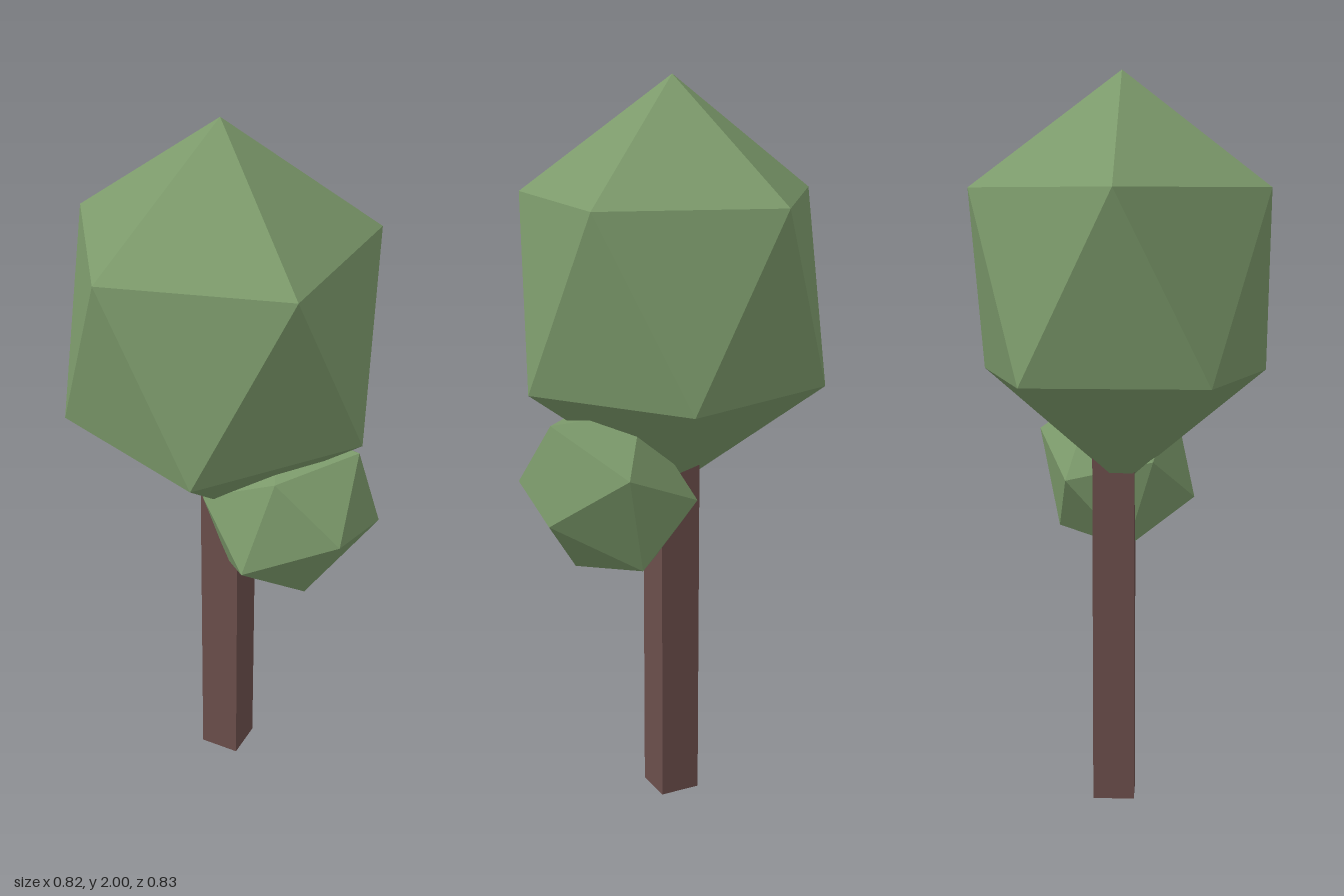
import * as THREE from 'three';
import { ConvexGeometry } from 'three/addons/geometries/ConvexGeometry.js';

const leaf = new THREE.MeshStandardMaterial({ color: 0x7c9a6b, flatShading: true });
const bark = new THREE.MeshStandardMaterial({ color: 0x6b4e4b, flatShading: true });

// Twenty-sided foliage: six corners (offsets from the centre) and their opposites.
function foliage(name, centre, corners) {
  const points = corners.flatMap(c => [c, c.clone().negate()]);
  const mesh = new THREE.Mesh(new ConvexGeometry(points), leaf);
  mesh.name = name;
  mesh.position.copy(centre);
  return mesh;
}

export function createModel() {
  const tree = new THREE.Group();
  tree.name = 'tree';

  // Square trunk, slightly turned, running up into the crown
  const trunk = new THREE.Mesh(new THREE.BoxGeometry(0.114, 1.0, 0.114), bark);
  trunk.name = 'trunk';
  trunk.position.set(-0.005, 0.5, -0.025);
  trunk.rotation.y = 0.267;
  tree.add(trunk);

  // Tall main crown: a pole and a ring of five, mirrored through the centre
  const crown = [new THREE.Vector3(0, 0.555, 0)];
  for (let i = 0; i < 5; i++) {
    const a = -0.068 + i * Math.PI * 2 / 5;
    crown.push(new THREE.Vector3(Math.sin(a) * 0.414, 0.249, Math.cos(a) * 0.414));
  }
  tree.add(foliage('crown', new THREE.Vector3(-0.012, 1.445, 0), crown));

  // Small tilted side clump
  const centre = new THREE.Vector3(0.18, 0.917, -0.076);
  const clump = [
    [0.41, 0.935, 0], [0.247, 1.097, 0.075], [0.341, 1.127, -0.156],
    [0.2, 0.825, 0.15], [0.265, 0.695, -0.04], [0.36, 0.88, -0.237],
  ].map(p => new THREE.Vector3(...p).sub(centre));
  tree.add(foliage('sideClump', centre, clump));

  return tree;
}
